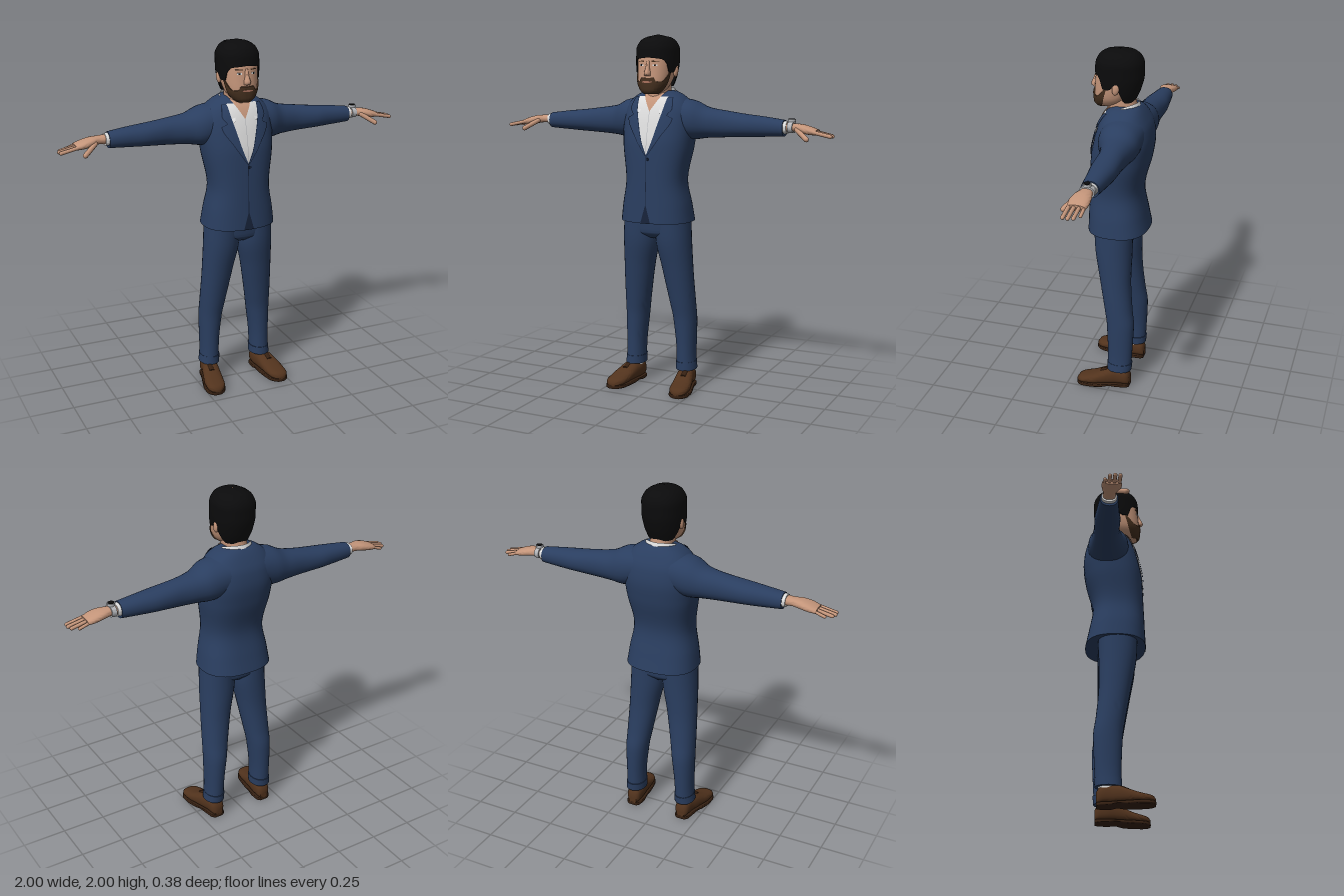
import * as THREE from 'three';
import { toCreasedNormals } from 'three/addons/utils/BufferGeometryUtils.js';

const mat = (name, color, side = THREE.DoubleSide) => Object.assign(new THREE.MeshStandardMaterial({ color, side }), { name });

// Smoothly interpolate a table whose first column is the key
function at(rows, k) {
  const n = rows.length - 1;
  k = Math.min(Math.max(k, rows[0][0]), rows[n][0]);
  let i = 0;
  while (i < n - 1 && k > rows[i + 1][0]) i++;
  const h = rows[i + 1][0] - rows[i][0], t = (k - rows[i][0]) / h;
  return rows[0].map((_, c) => {
    const d = j => (rows[j + 1][c] - rows[j][c]) / (rows[j + 1][0] - rows[j][0]);
    const slope = j => {
      if (j === 0) return d(0);
      if (j === n) return d(n - 1);
      const p = d(j - 1), q = d(j);
      return p * q <= 0 ? 0 : 2 * p * q / (p + q);
    };
    const a = rows[i][c], b = rows[i + 1][c], t2 = t * t, t3 = t2 * t;
    return (2 * t3 - 3 * t2 + 1) * a + (t3 - 2 * t2 + t) * h * slope(i) + (3 * t2 - 2 * t3) * b + (t3 - t2) * h * slope(i + 1);
  });
}

// Grid surface; u runs across, v along; optional end caps
function grid(nu, nv, f, caps = false) {
  const pos = [], idx = [], w = nu + 1;
  for (let v = 0; v <= nv; v++) for (let u = 0; u <= nu; u++) pos.push(...f(u / nu, v / nv, v));
  for (let v = 0; v < nv; v++) for (let u = 0; u < nu; u++) {
    const a = v * w + u, b = a + w;
    idx.push(a, a + 1, b + 1, a, b + 1, b);
  }
  if (caps) for (const v of [0, nv]) {
    const c = [0, 0, 0], m = pos.length / 3;
    for (let u = 0; u < nu; u++) for (let q = 0; q < 3; q++) c[q] += pos[(v * w + u) * 3 + q] / nu;
    pos.push(...c);
    for (let u = 0; u < nu; u++) v ? idx.push(m, v * w + u, v * w + u + 1) : idx.push(m, u + 1, u);
  }
  const g = new THREE.BufferGeometry();
  g.setAttribute('position', new THREE.Float32BufferAttribute(pos, 3));
  g.setIndex(idx);
  return toCreasedNormals(g, 0.8);
}

// Rounded cross-section; rows are [key, a max, a min, b max, b min]
const place = { x: (k, a, b) => [k, a, b], y: (k, a, b) => [b, k, a], z: (k, a, b) => [a, b, k] };
function section(axis, rows, p, k, ang, grow = 0) {
  const [, a1, a0, b1, b0] = at(rows, k), c = Math.cos(ang), s = Math.sin(ang);
  const q = x => Math.sign(x) * Math.abs(x) ** (2 / p);
  return place[axis](k, (a1 + a0) / 2 + ((a1 - a0) / 2 + grow) * q(c), (b1 + b0) / 2 + ((b1 - b0) / 2 + grow) * q(s));
}
function loft(axis, rows, p = 2.2, nv = 16, nu = 28, grow = 0) {
  const k0 = rows[0][0], k1 = rows[rows.length - 1][0];
  return grid(nu, nv, (u, v) => section(axis, rows, p, k0 + (k1 - k0) * v, u * Math.PI * 2, grow), true);
}
// Partial skin over a vertical loft, in degrees from the front, with turned-in rims
function shell(rows, p, d0, d1, lo, hi, grow, nu = 24, nv = 10) {
  return grid(nu, nv, (u, t, v) => {
    const d = d0 + (d1 - d0) * u, s = Math.min(Math.max((v - 1) / (nv - 2), 0), 1);
    const y = lo(Math.abs(d)) * (1 - s) + hi(Math.abs(d)) * s;
    return section('y', rows, p, y, d * Math.PI / 180, v === 0 || v === nv ? -0.003 : grow);
  });
}
function mirror(geo) {
  const g = geo.index ? geo.toNonIndexed() : geo.clone();
  g.scale(-1, 1, 1);
  for (const { array, itemSize: n } of Object.values(g.attributes))
    for (let i = 0; i < array.length; i += 3 * n) for (let c = 0; c < n; c++)
      [array[i + n + c], array[i + 2 * n + c]] = [array[i + 2 * n + c], array[i + n + c]];
  return g;
}

const TORSO = [[0.97, 0.165, -0.175, 0.205, -0.205], [1.06, 0.162, -0.157, 0.193, -0.193], [1.2, 0.157, -0.135, 0.17, -0.17],
  [1.4, 0.147, -0.178, 0.198, -0.198], [1.5, 0.128, -0.19, 0.205, -0.205], [1.58, 0.105, -0.18, 0.2, -0.2],
  [1.64, 0.078, -0.152, 0.168, -0.168], [1.68, 0.045, -0.125, 0.115, -0.115], [1.695, 0.02, -0.11, 0.08, -0.08]];
const HEAD = [[1.68, 0.122, 0.03, 0.035, -0.035], [1.7, 0.134, -0.02, 0.062, -0.062], [1.74, 0.136, -0.06, 0.086, -0.086],
  [1.8, 0.132, -0.1, 0.097, -0.097], [1.86, 0.126, -0.115, 0.1, -0.1], [1.92, 0.113, -0.115, 0.1, -0.1],
  [1.97, 0.08, -0.09, 0.07, -0.07], [1.985, 0.03, -0.03, 0.03, -0.03]];
const HAIR = [[1.71, 0.13, -0.08, 0.085, -0.085], [1.78, 0.132, -0.112, 0.103, -0.103], [1.86, 0.13, -0.13, 0.111, -0.111],
  [1.92, 0.125, -0.13, 0.111, -0.111], [1.96, 0.108, -0.115, 0.095, -0.095], [1.985, 0.075, -0.085, 0.065, -0.065], [2, 0.004, -0.01, 0.006, -0.006]];
const HAIRLINE = [[0, 1.878], [40, 1.868], [54, 1.845], [66, 1.795], [82, 1.795], [92, 1.83], [108, 1.77], [130, 1.72], [180, 1.713]];
const BEARDLINE = [[0, 1.768], [18, 1.77], [30, 1.748], [50, 1.748], [64, 1.77], [78, 1.81]];
const ARM = [[0.1, 1.66, 1.45, 0.07, -0.17], [0.2, 1.643, 1.428, 0.06, -0.165], [0.28, 1.607, 1.438, 0.025, -0.15],
  [0.4, 1.588, 1.445, 0.002, -0.138], [0.5, 1.575, 1.45, 0.003, -0.138], [0.6, 1.565, 1.455, -0.008, -0.128], [0.72, 1.55, 1.462, -0.018, -0.113]];
const HAND = [[0.71, 1.538, 1.485, -0.032, -0.1], [0.77, 1.534, 1.49, -0.032, -0.098], [0.81, 1.532, 1.485, -0.014, -0.106],
  [0.86, 1.521, 1.477, -0.004, -0.11], [0.905, 1.505, 1.474, -0.012, -0.104]];
const LEG = [[0.11, 0.022, -0.115, 0.216, 0.106], [0.2, 0.022, -0.12, 0.212, 0.105], [0.4, 0.03, -0.128, 0.215, 0.085],
  [0.5, 0.045, -0.115, 0.213, 0.068], [0.7, 0.08, -0.1, 0.206, 0.032], [0.88, 0.11, -0.102, 0.2, 0], [0.99, 0.115, -0.105, 0.195, 0]];
const SHOE = [[-0.11, 0.185, 0.135, 0.08, 0.012], [-0.095, 0.2, 0.122, 0.105, 0.012], [-0.04, 0.21, 0.118, 0.118, 0.012],
  [0, 0.222, 0.122, 0.114, 0.012], [0.05, 0.236, 0.128, 0.095, 0.012], [0.1, 0.248, 0.134, 0.074, 0.012],
  [0.15, 0.25, 0.143, 0.06, 0.012], [0.18, 0.24, 0.16, 0.052, 0.012], [0.195, 0.22, 0.182, 0.035, 0.014]];

// Plate lying on the chest between two edge curves
function chestPlate(y0, y1, left, right, off, nv = 24) {
  return grid(8, nv, (u, v) => {
    const y = y0 + (y1 - y0) * v, x = left(y) + (right(y) - left(y)) * u, [, f, b, h] = at(TORSO, y);
    const k = Math.max(1 - Math.abs(x / h) ** 2.5, 0) ** (1 / 2.5);
    return [x, y, (f + b) / 2 + (f - b) / 2 * k + off];
  });
}
// Tapered-free rounded finger between two points
function finger(a, b, r) {
  const p = new THREE.Vector3(...a), q = new THREE.Vector3(...b), d = q.clone().sub(p);
  const g = new THREE.CapsuleGeometry(r, d.length(), 5, 10);
  g.applyQuaternion(new THREE.Quaternion().setFromUnitVectors(new THREE.Vector3(0, 1, 0), d.normalize()));
  return g.translate(...p.add(q).multiplyScalar(0.5).toArray());
}

export function createModel() {
  const root = new THREE.Group();
  root.name = 'manInSuit';
  const suit = mat('navy cloth', 0x2a3e60), seam = mat('dark navy seam', 0x17233a), shirt = mat('white cotton', 0xdcdcdc);
  const skin = mat('skin', 0xc4957a), hair = mat('black hair', 0x0b0b0c), beard = mat('brown beard', 0x45301f);
  const leather = mat('brown leather', 0x52331d), sole = mat('dark sole', 0x352012), lip = mat('lip', 0xa8705c), metal = mat('watch metal', 0xb4b6ba);
  const add = (name, geo, m) => {
    const mesh = new THREE.Mesh(geo, m);
    mesh.name = name;
    root.add(mesh);
  };
  const pair = (name, geo, m) => {
    add(name + 'Left', geo, m);
    add(name + 'Right', mirror(geo), m);
  };

  // Jacket body, shirt front and lapels
  const vee = y => at([[1.345, 0], [1.42, 0.03], [1.52, 0.058], [1.6, 0.078], [1.67, 0.088]], y)[1];
  const lapel = y => at([[1.345, 0.004], [1.45, 0.075], [1.55, 0.13], [1.565, 0.1], [1.6, 0.122], [1.68, 0.105]], y)[1];
  add('jacketBody', loft('y', TORSO, 2.5, 36, 40), suit);
  add('shirtFront', chestPlate(1.345, 1.665, y => -vee(y), vee, 0.004), shirt);
  add('shirtPlacket', chestPlate(1.35, 1.59, () => -0.0015, () => 0.0015, 0.006), metal);
  add('openNeck', chestPlate(1.585, 1.685, y => (1.585 - y) * 0.6, y => (y - 1.585) * 0.6, 0.008), skin);
  pair('lapelEdge', chestPlate(1.345, 1.662, vee, y => lapel(y) + 0.004, 0.006, 40), seam);
  pair('lapel', chestPlate(1.345, 1.66, vee, lapel, 0.009, 40), suit);
  add('jacketClosure', chestPlate(1.07, 1.345, () => -0.002, () => 0.002, 0.002), seam);
  add('jacketOpening', chestPlate(0.97, 1.07, y => (y - 1.07) * 0.28 - 0.002, y => (1.07 - y) * 0.28 + 0.002, 0.002), seam);
  add('jacketButton', new THREE.CylinderGeometry(0.008, 0.008, 0.006, 12).rotateX(Math.PI / 2).translate(0.008, 1.325, 0.155), seam);

  // Shirt collar, open at the front
  add('shirtCollar', grid(36, 4, (u, v) => {
    const a = (u * 2 - 1) * 2.72, f = (1 - Math.cos(a)) / 2, s = 1 - v;
    const r = 0.075 + 0.032 * f + s * (0.014 + 0.046 * f * f), y = 1.712 - 0.075 * f * f - s * (0.035 + 0.045 * f ** 6);
    return [Math.sin(a) * (r - 0.01 * f), y, -0.03 - Math.cos(a) * r];
  }), shirt);

  // Neck and head
  add('neck', loft('y', [[1.58, 0.07, -0.1, 0.062, -0.062], [1.66, 0.068, -0.1, 0.063, -0.063], [1.73, 0.06, -0.09, 0.064, -0.064], [1.8, 0.05, -0.085, 0.06, -0.06]]), skin);
  add('head', loft('y', HEAD, 2.3, 28, 36), skin);
  add('hair', shell(HAIR, 2.2, -180, 180, d => at(HAIRLINE, d)[1], () => 2, 0.003, 72, 20), hair);
  add('beard', shell(HEAD, 2.3, -78, 78, () => 1.68, d => at(BEARDLINE, d)[1], 0.006, 40, 12), beard);
  add('mouth', shell(HEAD, 2.3, -15, 15, d => 1.74 + d * 0.0003, d => 1.752 - d * 0.0002, 0.009, 10, 4), lip);
  add('nose', loft('y', [[1.778, 0.148, 0.11, 0.017, -0.017], [1.79, 0.16, 0.11, 0.019, -0.019], [1.82, 0.148, 0.11, 0.012, -0.012], [1.862, 0.13, 0.1, 0.009, -0.009]], 2, 10, 16), skin);
  pair('eye', shell(HEAD, 2.3, 13, 28, () => 1.832, () => 1.841, 0.002, 8, 4), shirt);
  pair('iris', shell(HEAD, 2.3, 18, 23, () => 1.832, () => 1.841, 0.004, 4, 4), hair);
  pair('eyebrow', shell(HEAD, 2.3, 10, 33, d => 1.853 + d * 0.0001, d => 1.862 - d * 0.0001, 0.004, 10, 4), beard);
  pair('ear', new THREE.SphereGeometry(1, 16, 12).scale(0.013, 0.034, 0.02).rotateX(-0.15).translate(0.104, 1.805, -0.008), skin);

  // Arms, cuffs and hands
  pair('sleeve', loft('x', ARM, 2.2, 28), suit);
  pair('shirtCuff', loft('x', [[0.7, 1.545, 1.473, -0.023, -0.108], [0.738, 1.543, 1.477, -0.026, -0.106]], 2.2, 2), shirt);
  pair('palm', loft('x', HAND, 2.4, 14, 20), skin);
  [[0.986, -0.018, 0.0105], [0.9895, -0.044, 0.0105], [0.982, -0.07, 0.01], [0.95, -0.094, 0.0085]].forEach(([x, z, r], i) =>
    pair('finger' + (i + 1), finger([0.885, 1.494, z - 0.001], [x, 1.473, z], r), skin));
  pair('thumb', finger([0.8, 1.502, -0.025], [0.868, 1.457, 0.02], 0.0135), skin);
  add('watchBand', loft('x', [[0.745, 1.544, 1.48, -0.025, -0.106], [0.772, 1.543, 1.481, -0.025, -0.106]], 2.2, 2), metal);
  add('watchCase', new THREE.CylinderGeometry(0.021, 0.021, 0.014, 20).translate(0.759, 1.548, -0.065), metal);
  add('watchDial', new THREE.CylinderGeometry(0.017, 0.017, 0.004, 20).translate(0.759, 1.556, -0.065), hair);

  // Trousers with turned-up hems
  add('trouserSeat', loft('y', [[0.875, 0.07, -0.07, 0.05, -0.05], [0.91, 0.108, -0.1, 0.17, -0.17], [0.99, 0.115, -0.105, 0.197, -0.197]], 2.4), suit);
  pair('trouserLeg', loft('y', LEG, 2.1, 30), suit);
  pair('trouserHem', loft('y', LEG.slice(0, 2).map((r, i) => [i ? 0.155 : 0.108, ...r.slice(1)]), 2.1, 2, 28, 0.003), suit);

  // Socks and shoes
  pair('sock', loft('y', [[0.07, 0.01, -0.1, 0.203, 0.122], [0.13, 0.005, -0.1, 0.2, 0.122]], 2, 2), shirt);
  pair('shoe', loft('z', SHOE, 2.5, 28), leather);
  pair('shoeSole', loft('z', SHOE.map(([z, a, b]) => [z, a + 0.004, b - 0.004, 0.022, z > -0.03 && z < 0.03 ? 0.008 : 0]), 6, 28), sole);
  pair('shoeLaces', loft('z', [[0.02, 0.198, 0.166, 0.112, 0.08], [0.06, 0.2, 0.17, 0.096, 0.07]], 3, 4, 16), sole);
  return root;
}
